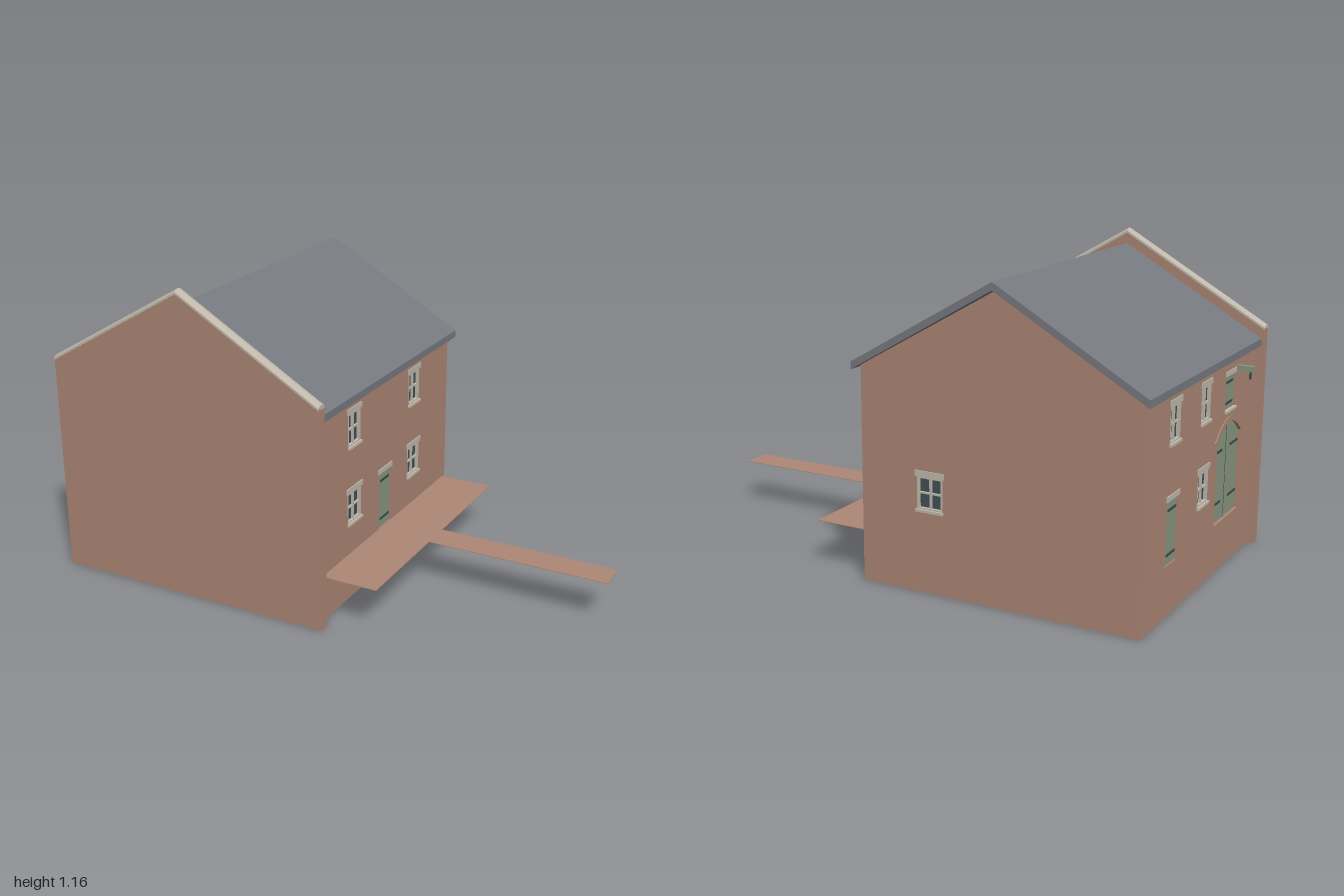
import * as THREE from 'three';

const mat = (name, color) => {
  const m = new THREE.MeshStandardMaterial({ color, side: THREE.DoubleSide });
  m.name = name;
  return m;
};

export function createModel() {
  const brick = mat('brick', 0xac8674), slate = mat('slate', 0x767980), stone = mat('stone', 0xc0b9ab);
  const green = mat('green paint', 0x87957f), glass = mat('glass', 0x434f54), iron = mat('iron', 0x3d484a);
  const house = new THREE.Group();
  house.name = 'house';
  const RIDGE_X = -0.41, T = 0.03;

  const add = (parent, name, geo, material, x = 0, y = 0, z = 0) => {
    const mesh = new THREE.Mesh(geo, material);
    mesh.name = name;
    mesh.position.set(x, y, z);
    parent.add(mesh);
    return mesh;
  };
  // Box given by its limits
  const box = (parent, name, material, x0, x1, y0, y1, z0, z1) =>
    add(parent, name, new THREE.BoxGeometry(x1 - x0, y1 - y0, z1 - z0), material,
      (x0 + x1) / 2, (y0 + y1) / 2, (z0 + z1) / 2);
  const poly = (pts, Kind = THREE.Shape) => new Kind(pts.map(p => new THREE.Vector2(...p)));
  const rect = (x0, x1, y0, y1) => [[x0, y0], [x1, y0], [x1, y1], [x0, y1]];
  const extrude = (shape, depth) =>
    new THREE.ExtrudeGeometry(shape, { depth, bevelEnabled: false, curveSegments: 12 });

  // Outline with a shallow segmental arch on top
  const archPts = (u, w, y0, spring, rise) => {
    const pts = [[u - w, y0], [u + w, y0]];
    for (let i = 0; i <= 12; i++) {
      const k = 1 - i / 6;
      pts.push([u + w * k, spring + rise * (1 - k * k)]);
    }
    return pts;
  };

  // Wall panel: local x along the wall, local z = 0 on its outer face
  function wall(name, outline, holes, x, z, turn) {
    const g = new THREE.Group();
    g.name = name;
    g.position.set(x, 0, z);
    g.rotation.y = turn;
    const shape = poly(outline);
    holes.forEach(h => shape.holes.push(poly(h, THREE.Path)));
    add(g, name + 'Panel', extrude(shape, T), brick, 0, 0, -T);
    house.add(g);
    return g;
  }

  // Four-pane window with lintel and sill
  function windowUnit(g, u, y0, y1, w) {
    const h = w - 0.007, mid = (y0 + y1) / 2;
    const frame = poly(rect(u - w, u + w, y0, y1));
    frame.holes.push(poly(rect(u - h, u + h, y0 + 0.007, y1 - 0.007), THREE.Path));
    add(g, 'windowFrame', extrude(frame, 0.018), stone, 0, 0, -0.018);
    box(g, 'windowGlass', glass, u - h, u + h, y0 + 0.007, y1 - 0.007, -0.016, -0.012);
    box(g, 'windowMullion', stone, u - 0.004, u + 0.004, y0, y1, -0.012, -0.004);
    box(g, 'windowTransom', stone, u - h, u + h, mid - 0.003, mid + 0.003, -0.012, -0.004);
    box(g, 'windowLintel', stone, u - w - 0.007, u + w + 0.007, y1, y1 + 0.02, -0.01, 0.004);
    box(g, 'windowSill', stone, u - w - 0.003, u + w + 0.003, y0 - 0.007, y0 + 0.002, -0.01, 0.008);
  }

  // Strap hinges
  const straps = (g, u0, u1, ys, z) =>
    ys.forEach(y => box(g, 'strapHinge', iron, u0, u1, y - 0.004, y + 0.004, z, z + 0.003));

  // Plank door with lintel
  function door(g, u) {
    box(g, 'door', green, u - 0.048, u + 0.048, 0.178, 0.4, -0.015, -0.005);
    straps(g, u - 0.03, u + 0.04, [0.212, 0.365], -0.005);
    box(g, 'doorLintel', stone, u - 0.056, u + 0.056, 0.4, 0.418, -0.01, 0.004);
  }

  const upper = [0.59, 0.715, 0.045], lower = [0.297, 0.415, 0.05];
  const opening = (u, [y0, y1, w]) => rect(u - w, u + w, y0, y1);
  const doorHole = u => rect(u - 0.048, u + 0.048, 0.178, 0.4);

  // Right wall, with two pairs of windows and a central door
  const right = wall('rightWall', rect(-0.51, 0.52, 0, 0.776),
    [opening(-0.25, upper), opening(0.222, upper), opening(-0.25, lower), opening(0.222, lower), doorHole(-0.013)],
    0.11, 0, Math.PI / 2);
  for (const u of [-0.25, 0.222]) {
    windowUnit(right, u, ...upper);
    windowUnit(right, u, ...lower);
  }
  door(right, -0.013);

  // Left wall, with cart door and loading hatch
  const U = 0.246;
  const cart = archPts(U, 0.125, 0.18, 0.475, 0.06);
  const left = wall('leftWall', rect(-0.52, 0.51, 0, 0.776),
    [opening(-0.28, upper), opening(0, upper), opening(0, lower), doorHole(-0.28), cart, rect(U - 0.05, U + 0.05, 0.58, 0.705)],
    -0.93, 0, -Math.PI / 2);
  windowUnit(left, -0.28, ...upper);
  windowUnit(left, 0, ...upper);
  windowUnit(left, 0, ...lower);
  door(left, -0.28);
  add(left, 'cartDoor', extrude(poly(cart), 0.01), green, 0, 0, -0.018);
  const surround = poly(archPts(U, 0.14, 0.18, 0.487, 0.066));
  surround.holes.push(poly(archPts(U, 0.125, 0.181, 0.475, 0.06), THREE.Path));
  add(left, 'cartDoorSurround', extrude(surround, 0.006), brick, 0, 0, -0.002);
  box(left, 'cartDoorJoint', iron, U - 0.001, U + 0.001, 0.18, 0.53, -0.009, -0.007);
  for (const s of [-1, 1]) {
    const a = U + s * 0.12, b = U + s * 0.04;
    straps(left, Math.min(a, b), Math.max(a, b), [0.25, 0.44], -0.008);
  }
  box(left, 'hatchDoor', green, U - 0.05, U + 0.05, 0.58, 0.705, -0.015, -0.005);
  straps(left, U - 0.045, U + 0.03, [0.605, 0.68], -0.005);
  box(left, 'hatchLintel', stone, U - 0.057, U + 0.057, 0.705, 0.722, -0.01, 0.004);
  box(left, 'hatchSill', stone, U - 0.053, U + 0.053, 0.573, 0.582, -0.01, 0.008);

  // Hoist beam and hook
  box(house, 'hoistBeam', green, -1, -0.94, 0.712, 0.732, 0.275, 0.295);
  box(house, 'hoistHook', iron, -0.99, -0.983, 0.685, 0.712, 0.282, 0.288);

  // Back gable wall
  const back = wall('backGable', [[-0.52, 0], [0.52, 0], [0.52, 0.772], [0, 1.07], [-0.52, 0.772]],
    [opening(-0.25, lower)], RIDGE_X, -0.52, Math.PI);
  windowUnit(back, -0.25, ...lower);

  // Front gable parapet
  add(house, 'frontGable', extrude(poly([[-0.55, 0], [0.55, 0], [0.55, 0.825], [0, 1.145], [-0.55, 0.825]]), 0.035),
    brick, RIDGE_X, 0, 0.51);

  // Rounded coping, bent down either side of the ridge
  const dome = poly([[-0.02, -0.006], [0.02, -0.006], [0.02, 0.002], [0.013, 0.009], [0, 0.012], [-0.013, 0.009], [-0.02, 0.002]]);
  for (const s of [-1, 1]) {
    const geo = extrude(dome, 0.55).rotateY(s * Math.PI / 2);
    const p = geo.attributes.position;
    for (let i = 0; i < p.count; i++) p.setY(i, p.getY(i) - 0.582 * Math.abs(p.getX(i)));
    geo.computeVertexNormals();
    add(house, 'coping', geo, stone, RIDGE_X, 1.145, 0.53);
  }

  // Slate roof
  add(house, 'roof', extrude(poly([[-0.54, 0.76], [0, 1.073], [0.54, 0.76], [0.54, 0.787], [0, 1.1], [-0.54, 0.787]]), 1.06),
    slate, RIDGE_X, 0, -0.55);

  // Raised terrace and path
  const deck = poly([[0.11, -0.485], [0.32, -0.485], [0.32, -0.065], [1, -0.065], [1, 0.05], [0.32, 0.05], [0.32, 0.5], [0.11, 0.5]]);
  add(house, 'terrace', extrude(deck, 0.002).rotateX(-Math.PI / 2), brick, 0, 0.175, 0);

  return house;
}
